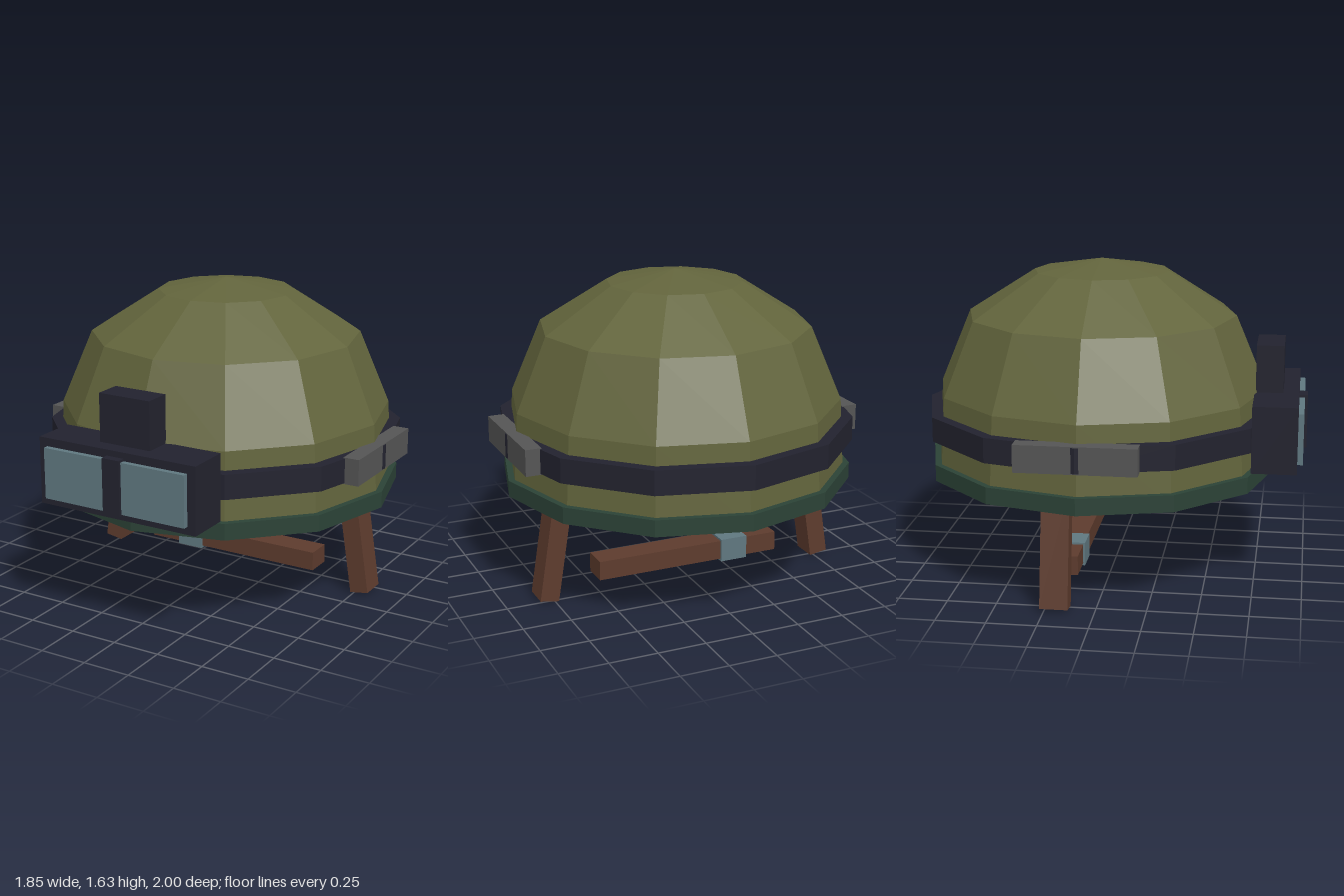
import * as THREE from 'three';

const material = (name, color) => {
  const m = new THREE.MeshStandardMaterial({ color });
  m.name = name;
  return m;
};

// Faceted normals for low-poly round parts
function faceted(geometry) {
  const g = geometry.index ? geometry.toNonIndexed() : geometry;
  g.computeVertexNormals();
  return g;
}

export function createModel() {
  const olive = material('olive shell', 0x62643c);
  const green = material('dark green rim', 0x2b4236);
  const dark = material('dark rubber', 0x22222e);
  const grey = material('grey metal', 0x545454);
  const brown = material('brown leather', 0x5d3b2d);
  const glass = material('blue grey glass', 0x5f777f);

  const model = new THREE.Group();
  model.name = 'helmet';

  const add = (name, geometry, mat, x, y, z) => {
    const mesh = new THREE.Mesh(geometry, mat);
    mesh.name = name;
    mesh.position.set(x, y, z);
    model.add(mesh);
    return mesh;
  };
  // Box given by its extents on each axis
  const box = (name, mat, [x0, x1], [y0, y1], [z0, z1]) =>
    add(name, new THREE.BoxGeometry(x1 - x0, y1 - y0, z1 - z0), mat,
      (x0 + x1) / 2, (y0 + y1) / 2, (z0 + z1) / 2);

  const SIDES = 12;
  const CZ = -0.075; // centre of the shell

  // Domed shell
  const profile = [[0.886, 0.55], [0.86, 0.96], [0.70, 1.34], [0.35, 1.563], [0, 1.625]]
    .map(([r, y]) => new THREE.Vector2(r, y));
  add('shell', faceted(new THREE.LatheGeometry(profile, SIDES)), olive, 0, 0, CZ);

  // Rim and goggle strap
  const ring = (name, mat, r, y0, y1) =>
    add(name, faceted(new THREE.CylinderGeometry(r, r, y1 - y0, SIDES)), mat, 0, (y0 + y1) / 2, CZ);
  ring('rim', green, 0.915, 0.53, 0.615);
  ring('goggleStrap', dark, 0.925, 0.74, 0.866);

  // Goggles
  box('goggleFrame', dark, [-0.443, 0.443], [0.63, 0.972], [0.73, 0.957]);
  box('goggleMount', dark, [-0.142, 0.142], [0.95, 1.216], [0.735, 0.875]);
  box('goggleBridge', dark, [-0.048, 0.048], [0.662, 0.942], [0.94, 1.0]);

  // Mirrored parts
  for (const s of [-1, 1]) {
    const side = s < 0 ? 'right' : 'left';
    const span = (a, b) => (s < 0 ? [-b, -a] : [a, b]);
    box(side + 'Lens', glass, span(0.04, 0.398), [0.67, 0.93], [0.94, 0.985]);
    box(side + 'Clip', grey, span(0.836, 0.92), [0.735, 0.871], [-0.373, 0.223]);
    const strap = add(side + 'ChinStrap', new THREE.BoxGeometry(0.1, 0.6, 0.14), brown,
      s * 0.734, 0.304, -0.2);
    strap.rotation.z = s * 0.155;
  }

  // Chin piece with buckle
  box('chinPiece', brown, [-0.506, 0.506], [0.074, 0.175], [-0.27, -0.13]);
  box('buckle', glass, [-0.33, -0.182], [0.062, 0.185], [-0.28, -0.12]);

  return model;
}
